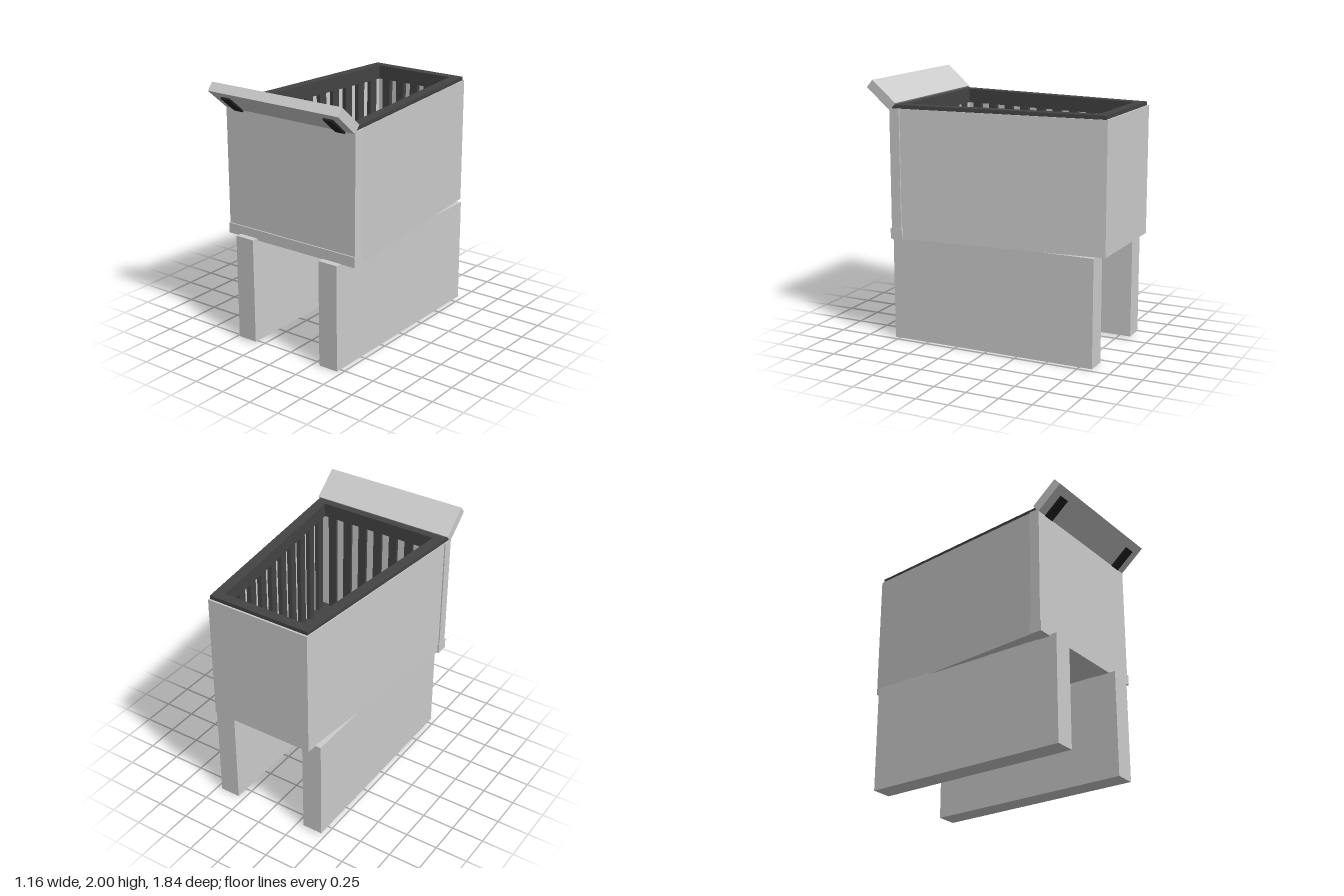
import * as THREE from 'three';

const grey = new THREE.MeshStandardMaterial({ color: 0xcccccc });
const dark = new THREE.MeshStandardMaterial({ color: 0x444444 });
const black = new THREE.MeshStandardMaterial({ color: 0x222222 });

// Plan outlines: half width at the back, back z, half width at the front, front z
const OUTER = [0.412, -0.92, 0.572, 0.69];
const LINER = [0.362, -0.87, 0.517, 0.665];
const RIM = [0.405, -0.905, 0.57, 0.71];
const OPENING = [0.33, -0.83, 0.48, 0.63];

const corners = ([wb, zb, wf, zf]) => [[-wb, zb], [wb, zb], [wf, zf], [-wf, zf]]
  .map(([x, z]) => new THREE.Vector2(x, z));

// Vertical prism over a tapered plan, with an optional tapered hole
function prism(name, material, plan, y0, y1, hole) {
  const shape = new THREE.Shape(corners(plan));
  if (hole) shape.holes.push(new THREE.Path(corners(hole)));
  const geo = new THREE.ExtrudeGeometry(shape, { depth: y1 - y0, bevelEnabled: false });
  geo.rotateX(Math.PI / 2);
  geo.translate(0, y1, 0);
  const mesh = new THREE.Mesh(geo, material);
  mesh.name = name;
  return mesh;
}

function box(name, material, size, pos) {
  const mesh = new THREE.Mesh(new THREE.BoxGeometry(...size), material);
  mesh.name = name;
  mesh.position.set(...pos);
  return mesh;
}

// Evenly spaced upright slats lining the four inner walls
function slats() {
  const group = new THREE.Group();
  group.name = 'innerSlats';
  const pts = corners(OPENING);
  const depth = 0.036;
  pts.forEach((p, i) => {
    const q = pts[(i + 1) % 4];
    const dir = q.clone().sub(p);
    const length = dir.length();
    dir.divideScalar(length);
    const count = Math.round(length / 0.14);
    for (let k = 0; k < count; k++) {
      const d = ((k + 0.5) * length) / count;
      const x = p.x + dir.x * d + dir.y * depth / 2;
      const z = p.y + dir.y * d - dir.x * depth / 2;
      const slat = box('slat', dark, [0.07, 0.86, depth], [x, 1.31, z]);
      slat.rotation.y = -Math.atan2(dir.y, dir.x);
      group.add(slat);
    }
  });
  return group;
}

export function createModel() {
  const model = new THREE.Group();
  model.name = 'taperedBin';

  // Two long slabs carry the bin
  model.add(box('leftSupport', grey, [0.16, 0.82, 1.64], [0.38, 0.41, -0.03]));
  model.add(box('rightSupport', grey, [0.16, 0.82, 1.64], [-0.388, 0.422, -0.03]));

  // Tapered shell with a thicker front panel and a plinth strip
  model.add(prism('binWalls', grey, OUTER, 0.82, 1.8, LINER));
  model.add(prism('binBottom', grey, [0.39, -0.89, 0.545, 0.68], 0.822, 0.85));
  model.add(box('frontPanel', grey, [1.155, 0.98, 0.08], [0, 1.31, 0.69]));
  model.add(box('frontPlinth', grey, [1.16, 0.08, 0.1], [0, 0.857, 0.69]));

  // Dark floor, slats, top rail and rim
  model.add(prism('binFloor', dark, [0.37, -0.88, 0.53, 0.67], 0.845, 0.9));
  model.add(slats());
  model.add(prism('innerRail', dark, [0.37, -0.88, 0.53, 0.67], 1.72, 1.8, OPENING));
  model.add(prism('topRim', dark, RIM, 1.798, 1.828, OPENING));

  // Tilted front board on two brackets
  const flap = new THREE.Group();
  flap.name = 'frontFlap';
  flap.position.set(0, 1.892, 0.8);
  flap.rotation.x = -0.7;
  flap.add(box('flapBoard', grey, [1.15, 0.074, 0.25], [0, 0, 0]));
  for (const side of [-1, 1]) {
    flap.add(box('flapBracket', black, [0.083, 0.016, 0.185], [side * 0.455, -0.043, -0.0325]));
  }
  model.add(flap);
  return model;
}
